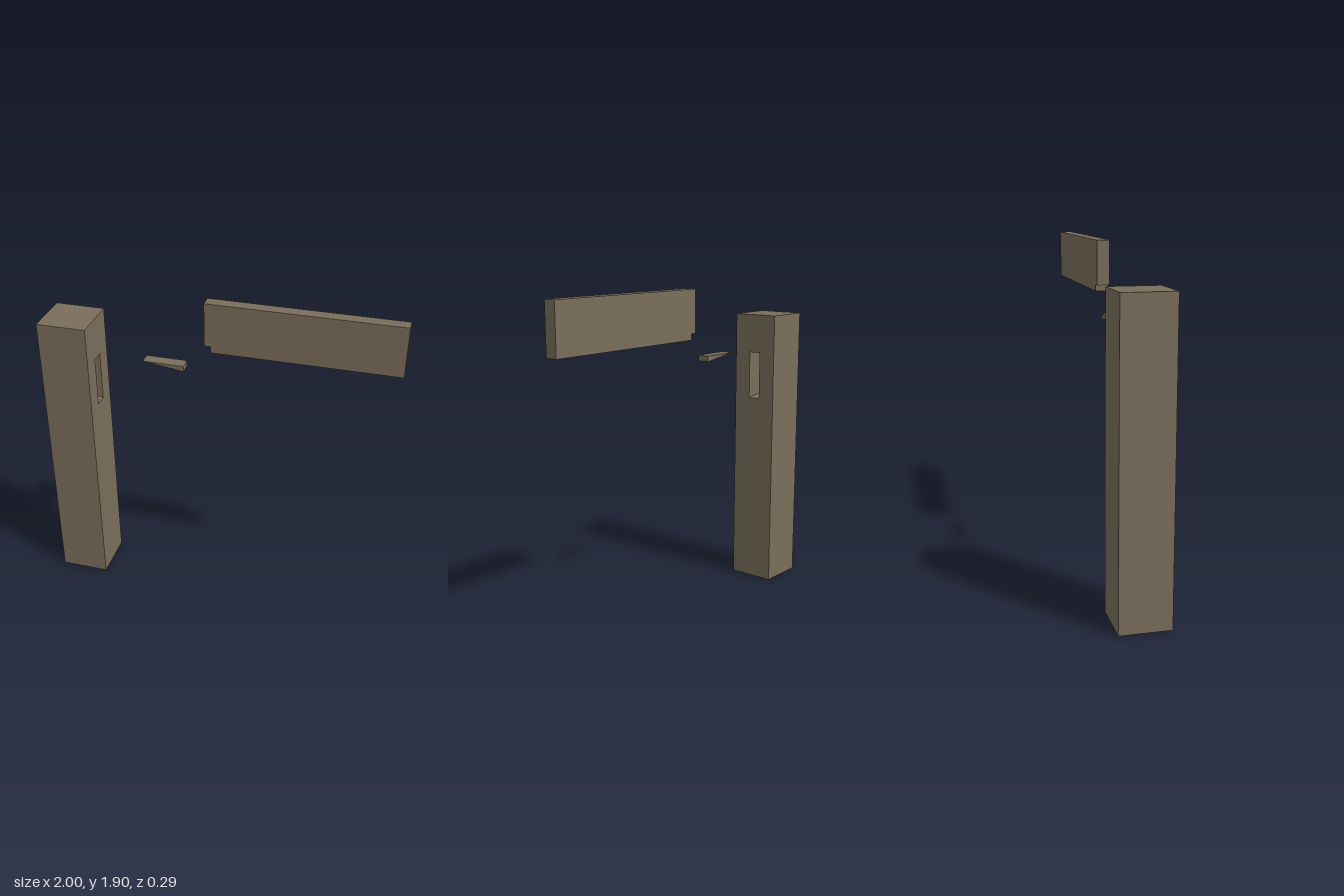
import * as THREE from 'three';
import { mergeGeometries } from 'three/addons/utils/BufferGeometryUtils.js';

const wood = new THREE.MeshStandardMaterial({ color: 0x7a6e5b });
wood.name = 'wood';

const POST = { x0: -1, x1: -0.715, height: 1.715, half: 0.143 };
const MORTISE = { depth: 0.24, half: 0.037, top: 1.48, bottom: 1.19, innerBottom: 1.225 };
const THICK = 0.071;

// Box between two corners with its +x face left off
function openBox(x0, x1, y0, y1, half) {
  const box = new THREE.BoxGeometry(x1 - x0, y1 - y0, half * 2);
  box.translate((x0 + x1) / 2, (y0 + y1) / 2, 0);
  box.setIndex(Array.from(box.index.array).slice(6));
  return box;
}

// Square post with a blind mortise whose floor slopes down to the opening
function postGeometry() {
  const { x0, x1, height, half } = POST;
  const m = MORTISE;
  const outside = openBox(x0, x1, 0, height, half);

  const face = new THREE.Shape([[-half, 0], [half, 0], [half, height], [-half, height]]
    .map(p => new THREE.Vector2(...p)));
  face.holes.push(new THREE.Path([[-m.half, m.bottom], [-m.half, m.top], [m.half, m.top], [m.half, m.bottom]]
    .map(p => new THREE.Vector2(...p))));
  const opening = new THREE.ShapeGeometry(face).rotateY(Math.PI / 2).translate(x1, 0, 0);

  const pocket = openBox(x1 - m.depth, x1, m.bottom, m.top, m.half);
  const pos = pocket.attributes.position;
  for (let i = 0; i < pos.count; i++) {
    if (pos.getX(i) < x1 - 0.01 && pos.getY(i) < m.bottom + 0.01) pos.setY(i, m.innerBottom);
  }
  pocket.setIndex(Array.from(pocket.index.array).reverse()); // faces look inward

  const parts = [outside, opening, pocket].map(g => g.toNonIndexed());
  const merged = mergeGeometries(parts);
  merged.computeVertexNormals();
  return merged;
}

// Side outline extruded to the board thickness, centred on z = 0
function board(points) {
  const shape = new THREE.Shape(points.map(p => new THREE.Vector2(...p)));
  return new THREE.ExtrudeGeometry(shape, { depth: THICK, bevelEnabled: false })
    .translate(0, 0, -THICK / 2);
}

export function createModel() {
  const model = new THREE.Group();
  model.name = 'wedgedMortiseJoint';
  const add = (name, geometry) => {
    const mesh = new THREE.Mesh(geometry, wood);
    mesh.name = name;
    model.add(mesh);
  };

  add('post', postGeometry());
  // Rail with a small notch under its end
  add('rail', board([[-0.037, 1.62], [1, 1.62], [1, 1.905], [-0.073, 1.905], [-0.073, 1.656], [-0.037, 1.656]]));
  // Wedge tapering to a thin edge
  add('wedge', board([[-0.43, 1.513], [-0.193, 1.48], [-0.193, 1.513]]));
  return model;
}
